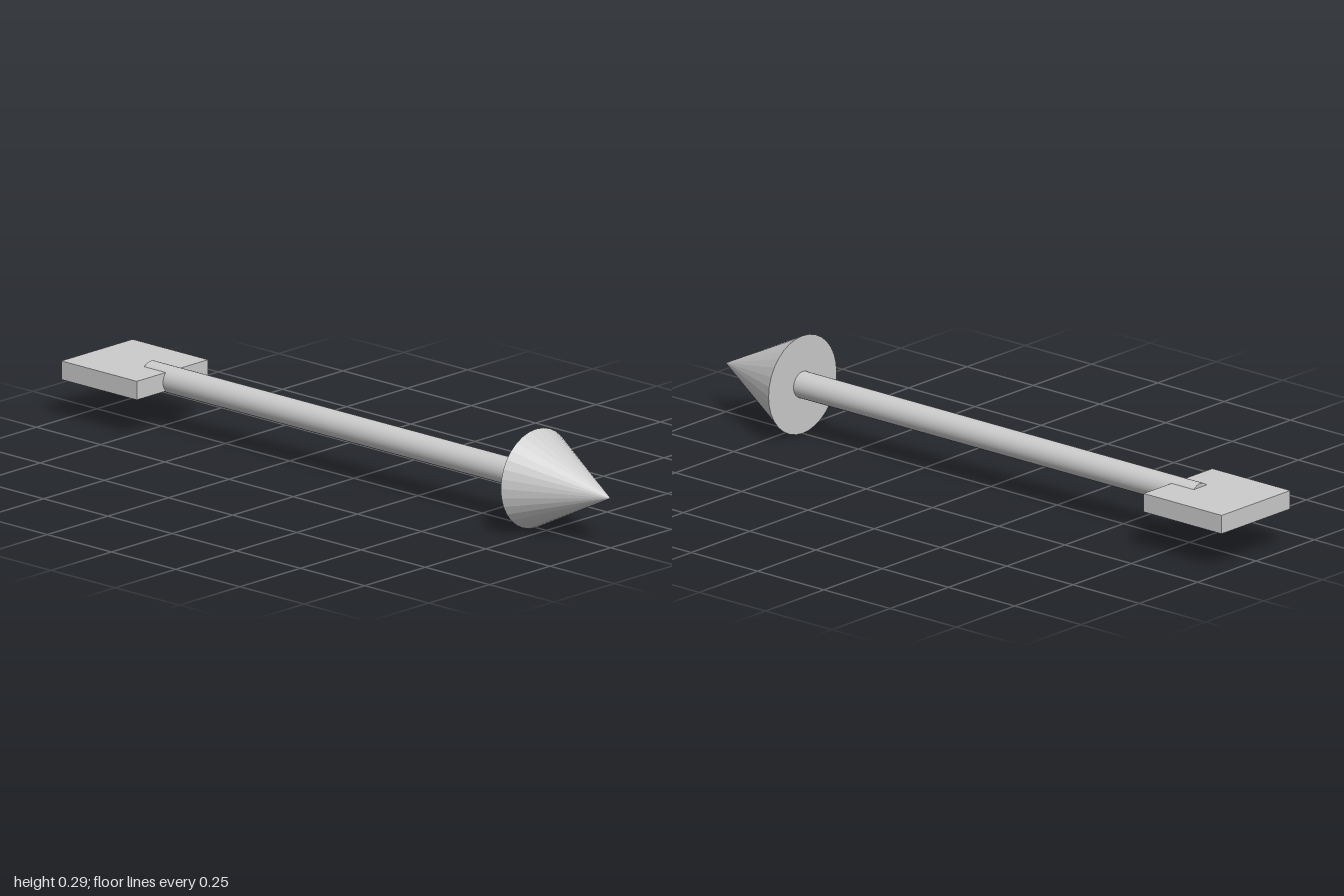
import * as THREE from 'three';

const AXIS_Y = 0.147;

export function createModel() {
  const group = new THREE.Group();
  const smooth = new THREE.MeshStandardMaterial({ color: 0xcccccc });
  const faceted = new THREE.MeshStandardMaterial({ color: 0xcccccc, flatShading: true });

  // Adds a part on the arrow's axis, centred at the given z
  const add = (name, geometry, material, z) => {
    const mesh = new THREE.Mesh(geometry, material);
    mesh.name = name;
    mesh.position.set(0, AXIS_Y, z);
    group.add(mesh);
  };

  // Pointed head, tip toward +z
  const headLength = 0.29;
  add('arrowHead', new THREE.ConeGeometry(0.146, headLength, 32).rotateX(Math.PI / 2),
    faceted, 1 - headLength / 2);

  // Round shaft, from the base of the head into the tail plate
  const front = 0.71, back = -0.79;
  add('shaft', new THREE.CylinderGeometry(0.039, 0.039, front - back, 32).rotateX(Math.PI / 2),
    smooth, (front + back) / 2);

  // Flat square tail plate
  const plate = 0.294;
  add('tailPlate', new THREE.BoxGeometry(plate, 0.055, plate), smooth, -1 + plate / 2);

  return group;
}
